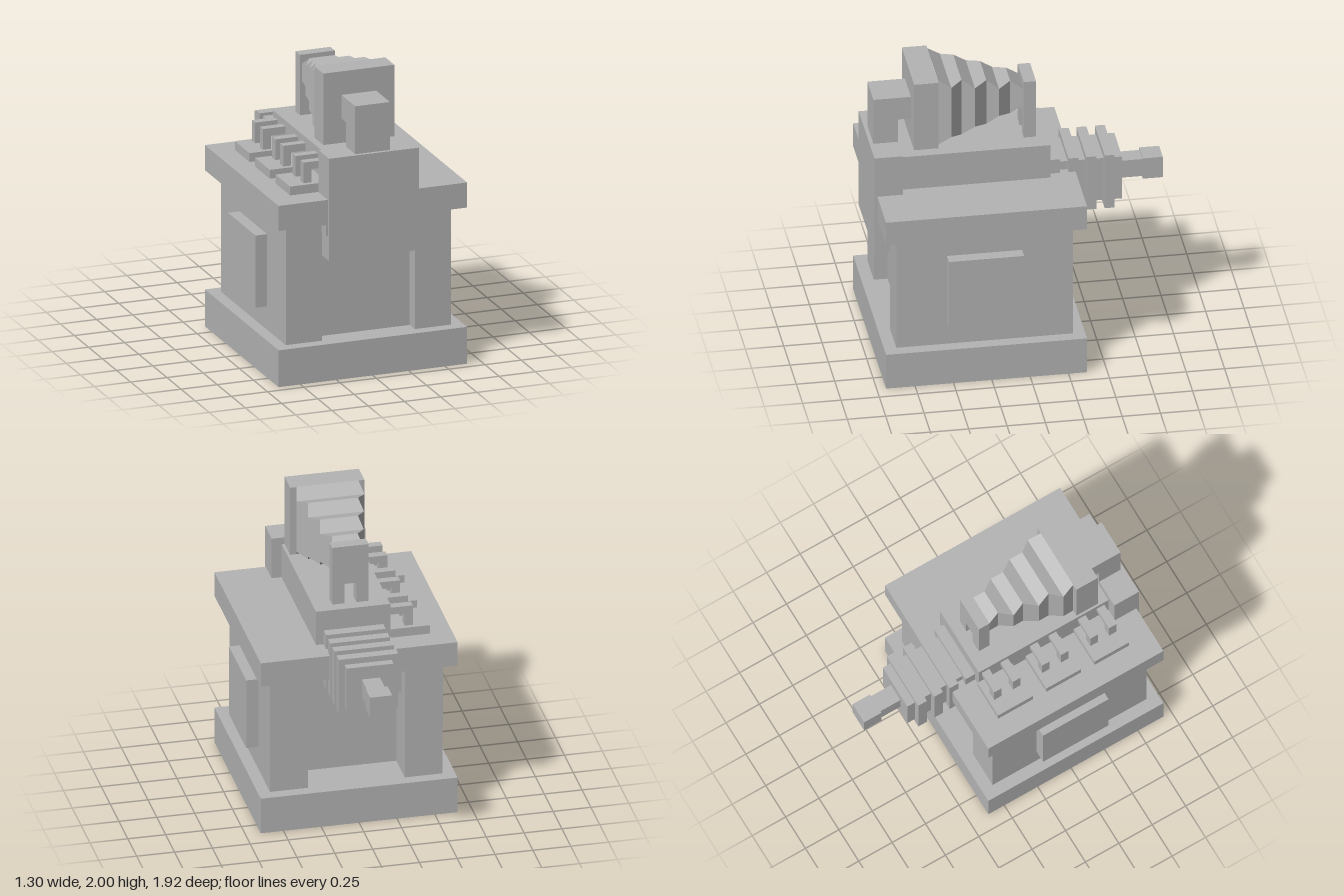
import * as THREE from 'three';

export function createModel() {
  const model = new THREE.Group();
  const grey = new THREE.MeshStandardMaterial({ color: 0xb3b3b3 });
  grey.name = 'plain grey';

  const add = (name, geometry, parent = model) => {
    const mesh = new THREE.Mesh(geometry, grey);
    mesh.name = name;
    parent.add(mesh);
    return mesh;
  };
  // Box given by its limits on each axis
  const box = (name, [x0, x1], [y0, y1], [z0, z1], parent) => {
    const g = new THREE.BoxGeometry(x1 - x0, y1 - y0, z1 - z0);
    g.translate((x0 + x1) / 2, (y0 + y1) / 2, (z0 + z1) / 2);
    return add(name, g, parent);
  };
  const group = (name) => {
    const g = new THREE.Group();
    g.name = name;
    model.add(g);
    return g;
  };
  // Plan outline (x, z) extruded upwards from y0 to y1
  const plan = (name, points, y0, y1) => {
    const shape = new THREE.Shape(points.map(([x, z]) => new THREE.Vector2(x, -z)));
    const g = new THREE.ExtrudeGeometry(shape, { depth: y1 - y0, bevelEnabled: false });
    g.rotateX(-Math.PI / 2);
    g.translate(0, y0, 0);
    return add(name, g);
  };

  // Pedestal: foot slab, body with front and rear recesses, notched top slab
  box('footSlab', [-0.65, 0.65], [0, 0.25], [-0.37, 0.94]);
  plan('body', [
    [-0.57, 0.86], [-0.32, 0.86], [-0.32, 0.77], [0.32, 0.77], [0.32, 0.86], [0.57, 0.86],
    [0.57, -0.29], [0.32, -0.29], [0.32, -0.05], [-0.32, -0.05], [-0.32, -0.29], [-0.57, -0.29],
  ], 0.25, 1.06);
  plan('topSlab', [
    [-0.65, 0.94], [-0.325, 0.94], [-0.325, 0.77], [0.325, 0.77], [0.325, 0.94], [0.65, 0.94],
    [0.65, -0.37], [-0.65, -0.37],
  ], 1.06, 1.23);
  for (const s of [-1, 1]) {
    const panel = box('sidePanel', [-0.04, 0.04], [0.41, 0.9], [0.04, 0.53]);
    panel.position.x = s * 0.61;
  }

  // Housing on and through the pedestal
  box('upperHousing', [-0.245, 0.245], [1.23, 1.47], [-0.2, 0.77]);
  box('frontCollar', [-0.325, 0.325], [0.985, 1.23], [0.77, 0.94]);
  box('frontBlock', [-0.31, 0.31], [0.82, 1.515], [0.775, 0.96]);
  box('rearBlock', [-0.32, 0.32], [0.82, 1.06], [-0.2, -0.05]);

  // Elbow duct joining the front block to the bellows head
  box('elbowRiser', [-0.12, 0.12], [1.515, 1.84], [0.775, 0.935]);
  box('elbowArm', [-0.12, 0.12], [1.68, 1.84], [0.69, 0.775]);
  box('bellowsHead', [-0.245, 0.245], [1.515, 2], [0.53, 0.69]);

  // Tapering folded bellows: rectangular sections [z, half width, half height]
  const sections = [
    [0.53, 0.205, 0.242], [0.445, 0.225, 0.182], [0.368, 0.165, 0.202], [0.284, 0.185, 0.142],
    [0.2, 0.125, 0.162], [0.12, 0.145, 0.1], [0.038, 0.085, 0.12], [-0.045, 0.105, 0.06],
  ];
  const corner = ([z, w, h], i) => {
    const [sx, sy] = [[1, 1], [-1, 1], [-1, -1], [1, -1]][i % 4];
    return [sx * w, 1.76 + sy * h, z];
  };
  const pos = [];
  for (let k = 0; k < sections.length - 1; k++) {
    for (let i = 0; i < 4; i++) {
      const a = corner(sections[k], i), b = corner(sections[k], i + 1);
      const c = corner(sections[k + 1], i + 1), d = corner(sections[k + 1], i);
      pos.push(...a, ...d, ...c, ...a, ...c, ...b);
    }
  }
  const folds = new THREE.BufferGeometry();
  folds.setAttribute('position', new THREE.Float32BufferAttribute(pos, 3));
  folds.computeVertexNormals();
  add('topBellows', folds);

  // Forked stand holding the narrow end of the bellows
  const stand = group('bellowsStand');
  box('standPlate', [-0.12, 0.12], [1.61, 1.88], [-0.125, -0.045], stand);
  box('standLeg', [-0.12, -0.04], [1.47, 1.61], [-0.125, -0.045], stand);
  box('standLeg', [0.04, 0.12], [1.47, 1.61], [-0.125, -0.045], stand);

  // Ribbed rear cylinder with rod and end cap
  const ram = group('rearRam');
  box('ramCore', [-0.155, 0.155], [0.98, 1.29], [-0.68, -0.2], ram);
  for (const [z0, z1] of [[-0.27, -0.2], [-0.39, -0.325], [-0.505, -0.44], [-0.625, -0.56]])
    box('ramRib', [-0.198, 0.195], [0.94, 1.33], [z0, z1], ram);
  box('ramRod', [-0.065, 0.055], [1.075, 1.2], [-0.83, -0.68], ram);
  box('ramCap', [-0.08, 0.065], [1.06, 1.21], [-0.96, -0.83], ram);

  // Three pads with paired elbow pipes on the model's right side
  for (const z of [-0.08, 0.28, 0.64]) {
    const port = group('pipePort');
    box('portPad', [-0.505, -0.245], [1.23, 1.29], [z - 0.13, z + 0.13], port);
    for (const dz of [-0.07, 0.07]) {
      const r = [z + dz - 0.028, z + dz + 0.028];
      box('pipeRiser', [-0.4, -0.345], [1.29, 1.43], r, port);
      box('pipeArm', [-0.345, -0.245], [1.38, 1.43], r, port);
    }
  }
  return model;
}
